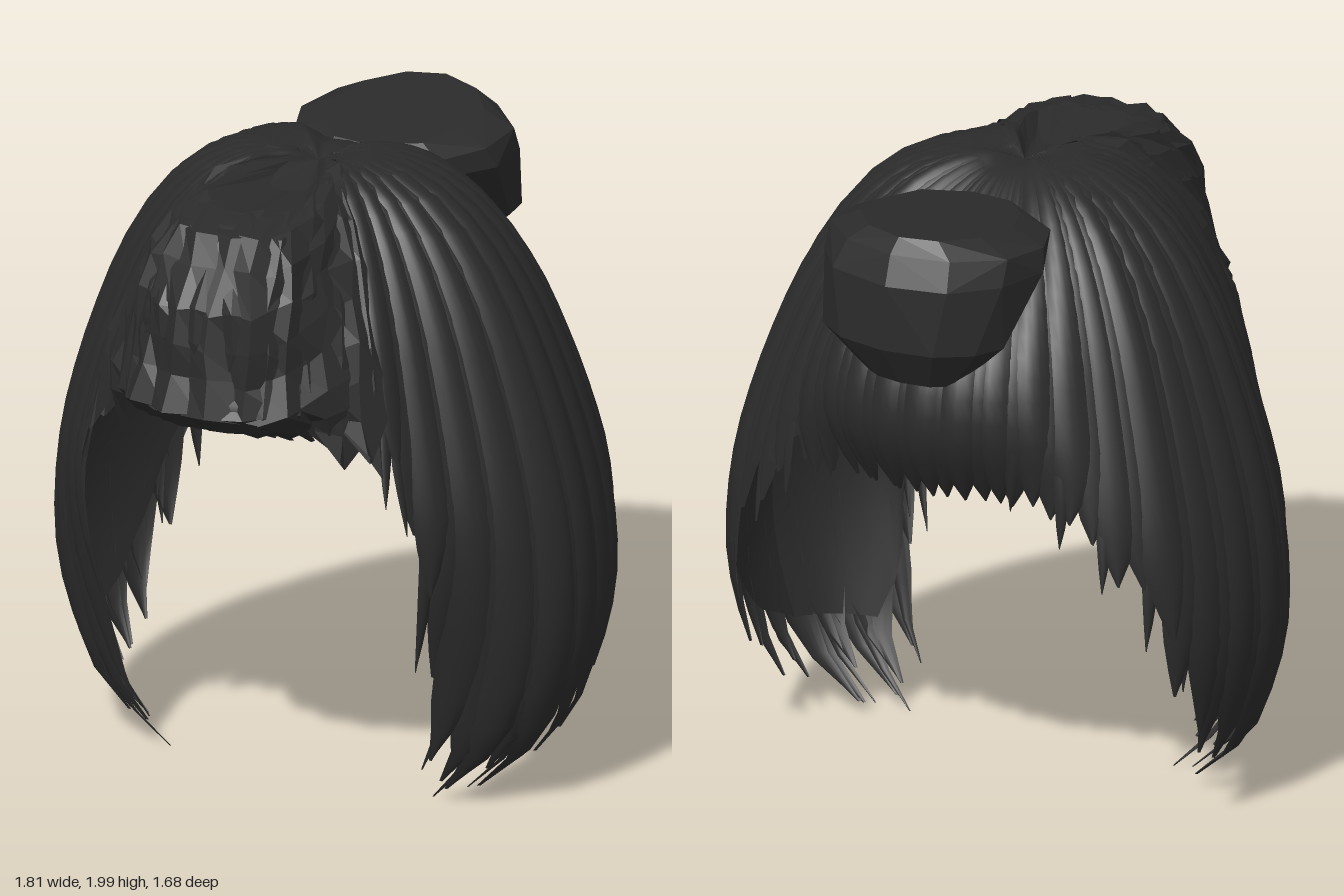
import * as THREE from 'three';
import { ConvexGeometry } from 'three/addons/geometries/ConvexGeometry.js';

const hair = new THREE.MeshStandardMaterial({ color: 0x2b2b2b, side: THREE.DoubleSide });
hair.name = 'charcoal hair';

let seed = 7;
const rnd = () => (seed = (seed * 16807) % 2147483647) / 2147483647;
const jitter = (a) => (rnd() - 0.5) * 2 * a;
const { smoothstep, degToRad, radToDeg } = THREE.MathUtils;

// Piecewise linear lookup in [key, value] pairs
function lookup(table, k) {
  for (let i = 1; i < table.length; i++) {
    const [a, va] = table[i - 1], [b, vb] = table[i];
    if (k <= b) return va + (vb - va) * Math.max(0, (k - a) / (b - a));
  }
  return table[table.length - 1][1];
}

// Angle runs from -90 (back) through 0 (side) to 90 (front), the same on both sides
const RADIUS = [[-90, 0.82], [-65, 0.82], [-48, 0.85], [-30, 0.89], [-12, 0.885], [0, 0.885], [10, 0.83],
  [26, 0.75], [36, 0.74], [42, 0.78], [50, 0.81], [60, 0.78], [72, 0.78], [90, 0.8]];
const HEM = [[-90, 1.12], [-55, 1.02], [-39, 0.86], [-30, 0.58], [-24, 0.35], [-14, 0.16], [0, 0.05],
  [18, 0.02], [24, 0.18], [28, 0.45], [32, 0.75], [38, 1.05], [44, 1.2], [50, 1.22], [90, 1.28]];

// Profiles from crown to hem: relative radius, height
const curve = (pts) => new THREE.SplineCurve(pts.map(([r, y]) => new THREE.Vector2(r, y)));
const sideCurve = curve([[0, 1.945], [0.17, 1.99], [0.39, 1.94], [0.58, 1.8], [0.73, 1.6], [0.83, 1.4], [0.91, 1.2],
  [0.97, 1], [1, 0.8], [1, 0.6], [0.955, 0.4], [0.86, 0.2], [0.62, 0.01]]);
const backCurve = curve([[0, 1.945], [0.18, 1.955], [0.36, 1.88], [0.55, 1.78], [0.75, 1.65], [0.89, 1.5], [0.92, 1.3],
  [0.8, 1.09]]);
const frontCurve = curve([[0, 1.945], [0.3, 1.915], [0.66, 1.93], [0.81, 1.88], [0.9, 1.77], [0.97, 1.64], [0.95, 1.53],
  [1.03, 1.4], [0.93, 1.33], [0.8, 1.28]]);

// Fraction of the side profile at which a given height is reached
function reach(y) {
  let lo = 0.15, hi = 1;
  for (let i = 0; i < 18; i++) {
    const m = (lo + hi) / 2;
    if (sideCurve.getPoint(m).y > y) lo = m; else hi = m;
  }
  return lo;
}

const fold = (deg) => radToDeg(Math.asin(Math.sin(degToRad(deg))));

// Point on the hair surface, s = 0 at the crown and 1 at the hem
function surface(deg, s, end, lift) {
  const f = fold(deg);
  const p = sideCurve.getPoint(Math.min(1, end * s));
  p.lerp(frontCurve.getPoint(s), smoothstep(f, 46, 76));
  p.lerp(backCurve.getPoint(s), smoothstep(-f, 42, 75));
  // the front edge of each side panel curls inwards near the bottom
  const curl = 1 - 0.13 * smoothstep(f, 6, 28) * smoothstep(-p.y, -1.05, -0.35);
  const r = p.x * lookup(RADIUS, f) * curl + lift * Math.min(1, s * 4);
  const a = degToRad(deg);
  return [r * Math.cos(a), p.y, r * Math.sin(a)];
}

function gridMesh(name, rows, cols, pointAt, faceted) {
  const pos = [], idx = [];
  for (let i = 0; i <= rows; i++) for (let j = 0; j <= cols; j++) pos.push(...pointAt(i / rows, j / cols));
  for (let i = 0; i < rows; i++) for (let j = 0; j < cols; j++) {
    const a = i * (cols + 1) + j, b = a + cols + 1;
    idx.push(a, a + 1, b, a + 1, b + 1, b);
  }
  let g = new THREE.BufferGeometry();
  g.setAttribute('position', new THREE.Float32BufferAttribute(pos, 3));
  g.setIndex(idx);
  if (faceted) g = g.toNonIndexed();
  g.computeVertexNormals();
  const m = new THREE.Mesh(g, hair);
  m.name = name;
  return m;
}

// A rounded ribbon of hair tapering to a point
function lock(name, deg, half, hem, lift, bulge, faceted) {
  const end = reach(hem), sway = jitter(2);
  const taperFrom = faceted ? 0.9 : 0.82;
  return gridMesh(name, faceted ? 10 : 20, faceted ? 2 : 6, (s, t) => {
    const u = t * 2 - 1;
    const k = Math.max(0, (s - taperFrom) / (1 - taperFrom));
    const w = half * (1 - Math.pow(k, 1.8) * 0.95);
    const p = surface(deg + u * w + sway * k, s, end, lift + bulge * (1 - u * u) * (1 - k * 0.6));
    return faceted && s > 0.15 ? p.map((c) => c + jitter(0.014)) : p;
  }, faceted);
}

export function createModel() {
  const model = new THREE.Group();
  model.name = 'wig';

  // Continuous under layer
  model.add(gridMesh('underLayer', 24, 144, (s, t) => {
    const deg = t * 360;
    return surface(deg, s * 0.9, reach(lookup(HEM, fold(deg))), -0.012);
  }, false));

  // Side and back locks in two overlapping layers, fringe locks faceted
  const count = 40, step = 360 / count;
  for (let layer = 0; layer < 2; layer++) {
    const group = new THREE.Group();
    group.name = layer ? 'innerLocks' : 'outerLocks';
    for (let i = 0; i < count; i++) {
      const deg = (i + 0.5 + layer * 0.5) * step;
      const f = fold(deg), fringe = f > 44;
      const hem = Math.max(0.015, lookup(HEM, f) + (fringe ? jitter(0.05) : rnd() * 0.1));
      group.add(lock(fringe ? 'fringeLock' : 'lock', deg, step * (fringe ? 0.8 : 0.6), hem,
        layer ? -0.012 : -0.003 + jitter(0.005), 0.022, fringe));
    }
    model.add(group);
  }

  // Thin loose strands in front of the ears and along the hem
  const strands = new THREE.Group();
  strands.name = 'looseStrands';
  for (const side of [0, 1]) {
    for (const [deg, hem] of [[40, 0.98], [43, 1.08], [33, 0.5], [30, 0.55], [-27, 0.5], [-34, 0.66], [-43, 0.85],
      [-52, 0.95], [-63, 1.02], [8, 0.04], [15, 0.01], [24, 0.13]]) {
      strands.add(lock('strand', side ? 180 - deg : deg, 2, hem, -0.01, 0.012, false));
    }
  }
  model.add(strands);

  // Faceted bun at the back: rings of height, back rise, centre z, half width, half depth
  const pts = [];
  for (const [y, rise, z, rx, rz] of [[1.945, 0.025, -0.51, 0.24, 0.27], [1.9, 0.02, -0.51, 0.34, 0.3],
    [1.83, 0, -0.54, 0.36, 0.31], [1.62, 0, -0.67, 0.3, 0.18], [1.49, 0, -0.68, 0.17, 0.09]]) {
    for (let i = 0; i < 11; i++) {
      const a = (i / 11) * Math.PI * 2 + 0.2;
      pts.push(new THREE.Vector3(rx * Math.cos(a) + jitter(0.015), y - rise * Math.sin(a), z + rz * Math.sin(a)));
    }
  }
  const bun = new THREE.Mesh(new ConvexGeometry(pts), hair);
  bun.name = 'bun';
  model.add(bun);

  return model;
}
